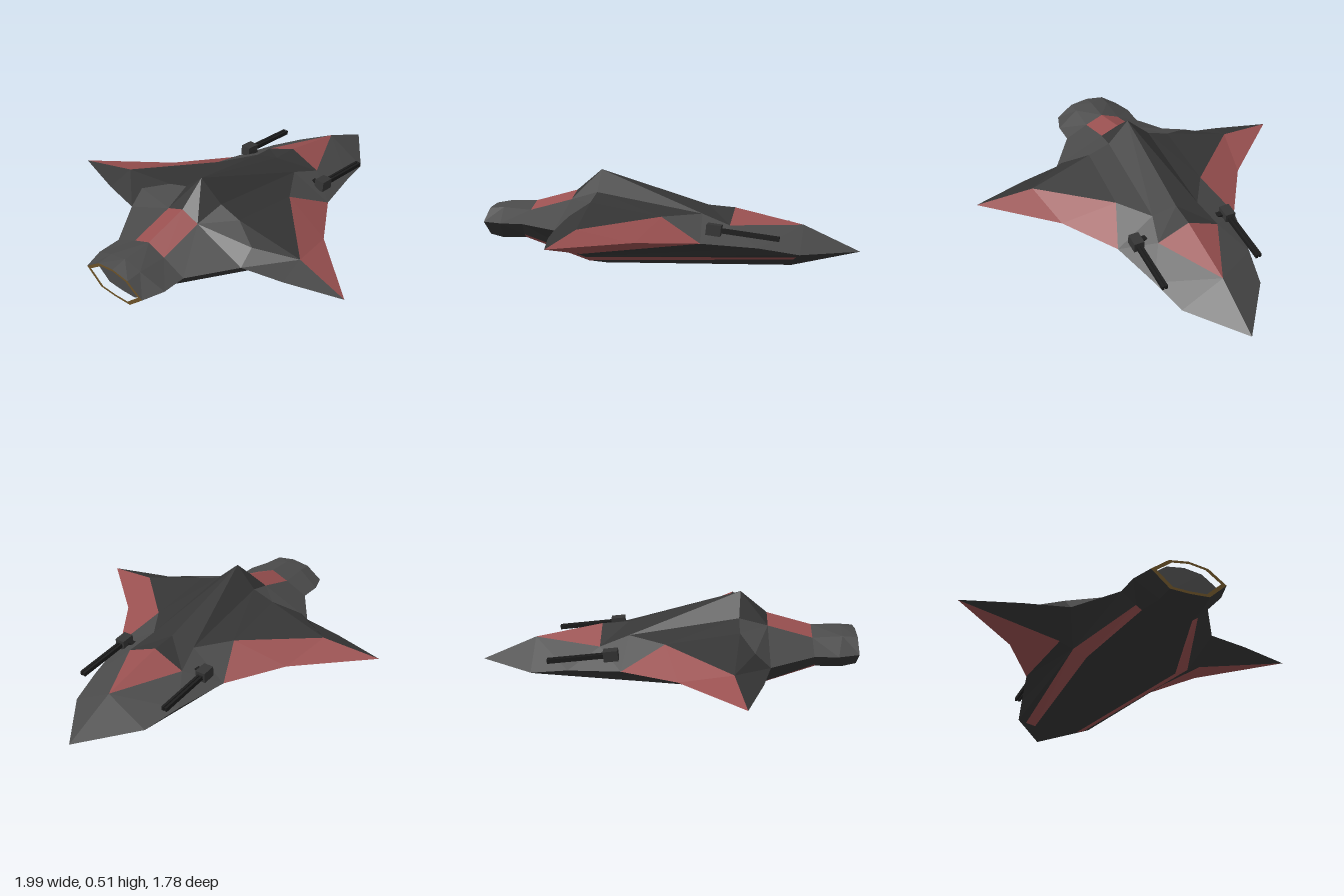
import * as THREE from 'three';

const mat = (color) => new THREE.MeshStandardMaterial({ color, flatShading: true });

export function createModel() {
  const ship = new THREE.Group();
  const grey = mat(0x4a4a4a), dark = mat(0x353535), red = mat(0x995050);
  const black = mat(0x1c1c1c), bronze = mat(0x6b5228);

  // Corner points of one half of the hull; the nose points along +x
  const P = {
    nose: [0.99, 0.12, 0], brow: [0.7, 0.25, 0], cheek: [0.7, 0.13, 0.22], side: [0.5, 0.165, 0.27],
    root: [0.22, 0.19, 0.34], canTop: [0.34, 0.33, 0], canSide: [0.34, 0.26, 0.17],
    spine: [0.2, 0.34, 0], spineSide: [0.19, 0.31, 0.13], wingIn: [0, 0.305, 0.25],
    peak: [-0.39, 0.515, 0], peakSide: [-0.38, 0.405, 0.12], shoulder: [-0.38, 0.365, 0.24],
    wingTop: [-0.34, 0.28, 0.59], lead: [-0.07, 0.215, 0.53], tip: [-0.39, 0.235, 0.89],
    trail: [-0.48, 0.235, 0.6], wingBack: [-0.45, 0.31, 0.38], notch: [-0.53, 0.235, 0.38],
    // engine sections: a top centre, b top edge, c side, d lower edge, e bottom centre
    a0: [-0.53, 0.4, 0], b0: [-0.53, 0.36, 0.1],
    a1: [-0.765, 0.335, 0], b1: [-0.765, 0.295, 0.1], c1: [-0.765, 0.235, 0.225],
    a2: [-0.92, 0.33, 0], b2: [-0.92, 0.305, 0.1], c2: [-0.89, 0.235, 0.225], d2: [-0.92, 0.14, 0.11], e2: [-0.92, 0.14, 0],
    a3: [-1, 0.315, 0], b3: [-1, 0.3, 0.1], c3: [-1, 0.235, 0.19], d3: [-1, 0.155, 0.1], e3: [-1, 0.15, 0],
    // underside
    keelF: [0.64, 0.035, 0], keelM: [-0.37, 0.003, 0], keelR: [-0.76, 0.14, 0],
    inF: [0.66, 0.09, 0.13], inM: [-0.39, 0.06, 0.24], inR: [-0.78, 0.15, 0.13],
    outF: [0.68, 0.11, 0.18], outM: [-0.39, 0.092, 0.31], outR: [-0.78, 0.17, 0.16],
    belly: [-0.39, 0.12, 0.38],
  };

  // Fans of named corners, mirrored in z; each triangle is turned to face up or down
  const a = new THREE.Vector3(), b = new THREE.Vector3();
  function panels(name, material, up, list) {
    const pos = [];
    for (const fan of list) {
      const pts = fan.split(' ').map((k) => P[k]);
      for (let i = 1; i < pts.length - 1; i++) {
        for (const s of [1, -1]) {
          const t = [pts[0], pts[i], pts[i + 1]].map(([x, y, z]) => new THREE.Vector3(x, y, z * s));
          const n = a.subVectors(t[1], t[0]).cross(b.subVectors(t[2], t[0]));
          if (n.y * up < 0) t.reverse();
          t.forEach((v) => pos.push(v.x, v.y, v.z));
        }
      }
    }
    const g = new THREE.BufferGeometry();
    g.setAttribute('position', new THREE.Float32BufferAttribute(pos, 3));
    g.computeVertexNormals();
    const m = new THREE.Mesh(g, material);
    m.name = name;
    ship.add(m);
  }

  panels('noseDeck', grey, 1, ['nose brow cheek', 'brow canSide side cheek', 'canSide root side',
    'canSide spineSide root', 'spineSide wingIn root']);
  panels('canopy', red, 1, ['brow canTop canSide']);
  panels('spine', dark, 1, ['spine canTop canSide spineSide', 'peak spine spineSide', 'peak spineSide peakSide',
    'peakSide spineSide wingIn', 'peakSide wingIn shoulder', 'shoulder wingIn wingTop', 'shoulder wingTop wingBack',
    'peak peakSide b0 a0']);
  panels('wingLeadingEdge', red, 1, ['wingIn root lead', 'wingIn lead wingTop', 'wingTop lead tip']);
  panels('wingTrailingEdge', dark, 1, ['wingTop tip trail', 'wingTop trail notch wingBack']);
  panels('engineDeck', grey, 1, ['b0 peakSide shoulder', 'b0 shoulder wingBack', 'b0 wingBack notch', 'b0 notch c1 b1',
    'a1 b1 b2 a2', 'b1 c1 c2 b2', 'a2 b2 b3 a3', 'b2 c2 c3 b3']);
  panels('engineHatch', red, 1, ['a0 b0 b1 a1']);
  panels('wingUnderside', red, -1, ['belly root lead', 'belly lead tip']);
  panels('bellyStripe', red, -1, ['inF outF outM inM', 'inM outM outR inR']);
  panels('belly', dark, -1, ['nose keelF inF', 'nose inF outF', 'nose outF cheek', 'keelF keelM inM inF',
    'keelM keelR inR inM', 'outM outF cheek side', 'outM side root belly', 'belly tip trail', 'belly trail notch',
    'outM belly notch', 'outM notch c1 outR',
    'keelR inR d2 e2', 'inR outR d2', 'outR c1 c2', 'outR c2 d2', 'e2 d2 d3 e3', 'd2 c2 c3 d3']);

  // Exhaust: a rim with an opening and a recessed plate
  const half = ['a3', 'b3', 'c3', 'd3', 'e3'].map((k) => P[k]);
  const ring = [...half, ...half.slice(1, 4).reverse().map(([x, y, z]) => [x, y, -z])];
  const outline = (k) => ring.map(([, y, z]) => new THREE.Vector2(z * k, 0.235 + (y - 0.235) * k));
  const rimShape = new THREE.Shape(outline(1));
  rimShape.holes.push(new THREE.Path(outline(0.85)));
  const addExhaust = (name, shape, depth, x, material) => {
    const g = new THREE.ExtrudeGeometry(shape, { depth, bevelEnabled: false });
    g.rotateY(-Math.PI / 2);
    const m = new THREE.Mesh(g, material);
    m.position.x = x;
    m.name = name;
    ship.add(m);
  };
  addExhaust('exhaustRim', rimShape, 0.04, -0.96, bronze);
  addExhaust('exhaustPlate', new THREE.Shape(outline(0.9)), 0.01, -0.945, grey);

  // Twin-rail guns beside the canopy, tilted slightly down
  for (const s of [1, -1]) {
    const gun = new THREE.Group();
    gun.name = s > 0 ? 'leftGun' : 'rightGun';
    const box = (name, w, h, d, x, y, z) => {
      const m = new THREE.Mesh(new THREE.BoxGeometry(w, h, d), name === 'mount' ? dark : black);
      m.name = name;
      m.position.set(x, y, z);
      gun.add(m);
    };
    box('mount', 0.075, 0.055, 0.055, 0, 0, 0);
    box('bracket', 0.03, 0.03, 0.1, -0.01, -0.01, -0.04 * s);
    for (const k of [-1, 1]) box('rail', 0.31, 0.022, 0.013, 0.175, 0, k * 0.009);
    gun.position.set(0.275, 0.25, 0.262 * s);
    gun.rotation.z = -0.11;
    ship.add(gun);
  }
  return ship;
}
